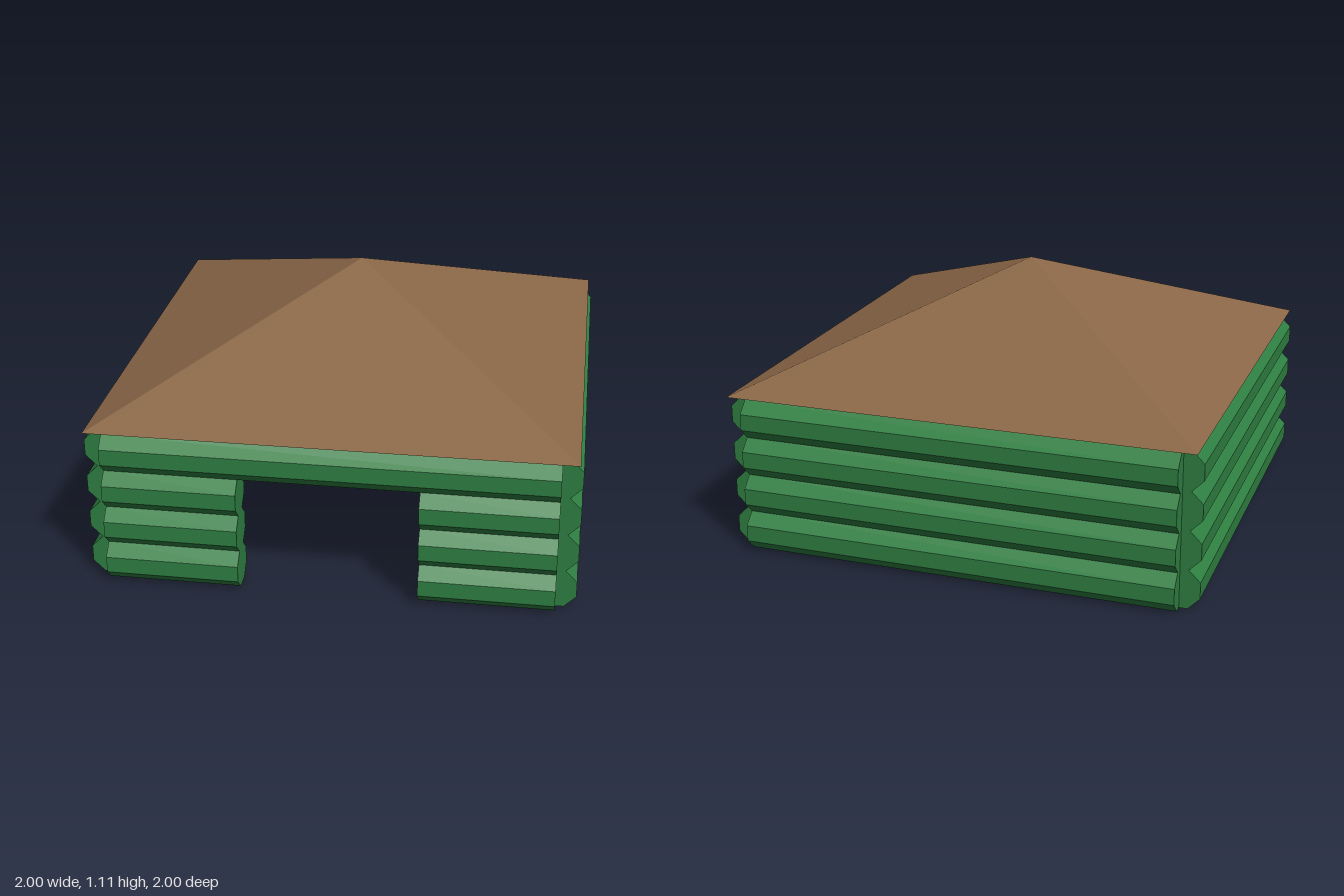
import * as THREE from 'three';

const APOTHEM = 0.0833;        // half the thickness of an octagonal log
const PITCH = 0.165;           // height of one course of logs
const WALL = 0.9167;           // distance from the centre to each wall axis
const DOOR = 0.367;            // half width of the doorway
const ROWS = 4;

export function createModel() {
  const model = new THREE.Group();
  model.name = 'logCabin';

  const logGreen = new THREE.MeshStandardMaterial({ color: 0x2f8042 });
  logGreen.name = 'logGreen';
  logGreen.flatShading = true;
  const roofBrown = new THREE.MeshStandardMaterial({ color: 0x8a6747 });
  roofBrown.name = 'roofBrown';
  roofBrown.flatShading = true;

  // An octagonal log lying along x from x0 to x1, flat face down
  function makeLog(name, x0, x1, row) {
    const geometry = new THREE.CylinderGeometry(
      APOTHEM / Math.cos(Math.PI / 8), APOTHEM / Math.cos(Math.PI / 8),
      x1 - x0, 8, 1, false, Math.PI / 8);
    geometry.rotateZ(Math.PI / 2);
    const log = new THREE.Mesh(geometry, logGreen);
    log.name = name;
    log.position.set((x0 + x1) / 2, APOTHEM + row * PITCH, WALL);
    return log;
  }

  // Four walls of stacked logs; the front one leaves a doorway under its top log
  ['frontWall', 'leftWall', 'backWall', 'rightWall'].forEach((name, side) => {
    const wall = new THREE.Group();
    wall.name = name;
    for (let row = 0; row < ROWS; row++) {
      if (side === 0 && row < ROWS - 1) {
        wall.add(makeLog('doorLogRight', -WALL, -DOOR, row));
        wall.add(makeLog('doorLogLeft', DOOR, WALL, row));
      } else {
        wall.add(makeLog('wallLog', -WALL, WALL, row));
      }
    }
    wall.rotation.y = side * Math.PI / 2;
    model.add(wall);
  });

  // Closed pyramid roof, just clear of the top logs
  const roofGeometry = new THREE.ConeGeometry(0.985 * Math.SQRT2, 0.43, 4, 1, false, Math.PI / 4);
  const roof = new THREE.Mesh(roofGeometry, roofBrown);
  roof.name = 'roof';
  roof.position.y = 0.675 + 0.215;
  model.add(roof);

  return model;
}
